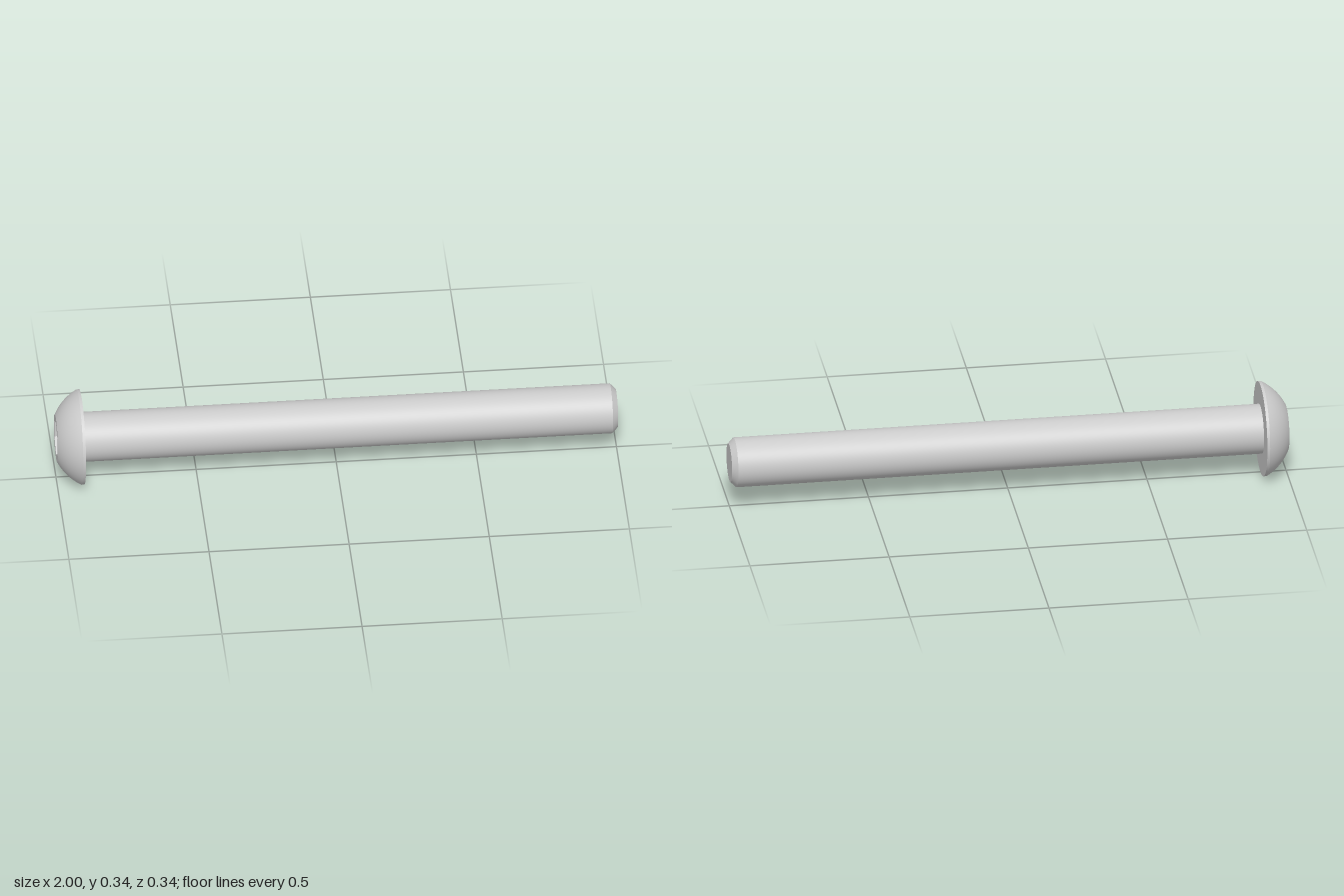
import * as THREE from 'three';

const HEAD_R = 0.17, FLAT_R = 0.085, SHANK_R = 0.089, TIP_R = 0.069;
const UNDERSIDE = -0.908, RIM = -0.918, SOCKET_R = 0.0685, SOCKET_DEPTH = 0.062;

export function createModel() {
  const model = new THREE.Group();
  model.name = 'buttonHeadScrew';
  const material = new THREE.MeshStandardMaterial({ color: 0xcccccc });
  const flatMaterial = new THREE.MeshStandardMaterial({ color: 0xcccccc, flatShading: true, side: THREE.BackSide });

  const add = (parent, name, geometry, mat = material) => {
    const mesh = new THREE.Mesh(geometry, mat);
    mesh.name = name;
    parent.add(mesh);
  };
  // One smooth band of revolution; separate bands keep the edges between them sharp
  const band = (parent, name, points) =>
    add(parent, name, new THREE.LatheGeometry(points.map(([r, y]) => new THREE.Vector2(r, y)), 64));

  // Head: spherical dome, thin rim and flat bearing face
  const head = new THREE.Group();
  head.name = 'head';
  const a = (HEAD_R ** 2 - FLAT_R ** 2 - (RIM + 1) ** 2) / (2 * (RIM + 1));
  const sphereR = Math.hypot(HEAD_R, a);
  const start = Math.asin(FLAT_R / sphereR), end = Math.asin(HEAD_R / sphereR);
  const dome = [];
  for (let i = 0; i <= 12; i++) {
    const t = start + (end - start) * i / 12;
    dome.push([sphereR * Math.sin(t), RIM + a - sphereR * Math.cos(t)]);
  }
  band(head, 'headDome', dome);
  band(head, 'headRim', [[HEAD_R, RIM], [HEAD_R, UNDERSIDE]]);
  band(head, 'headUnderside', [[HEAD_R, UNDERSIDE], [SHANK_R, UNDERSIDE]]);

  // Flat end of the head, pierced by the hexagonal socket
  const face = new THREE.Shape().absarc(0, 0, FLAT_R, 0, Math.PI * 2);
  const corners = [];
  for (let i = 0; i < 6; i++) {
    const t = i * Math.PI / 3;
    corners.push(new THREE.Vector2(SOCKET_R * Math.cos(t), SOCKET_R * Math.sin(t)));
  }
  face.holes.push(new THREE.Path(corners));
  add(head, 'headFace', new THREE.ShapeGeometry(face, 32).rotateX(Math.PI / 2).translate(0, -1, 0));

  // Socket walls and floor
  add(head, 'socketWalls', new THREE.CylinderGeometry(SOCKET_R, SOCKET_R, SOCKET_DEPTH, 6, 1, true, Math.PI / 2)
    .translate(0, -1 + SOCKET_DEPTH / 2, 0), flatMaterial);
  add(head, 'socketFloor', new THREE.CircleGeometry(SOCKET_R, 6).rotateX(Math.PI / 2).translate(0, -1 + SOCKET_DEPTH, 0));

  // Shank with a chamfered tip
  const shank = new THREE.Group();
  shank.name = 'shank';
  band(shank, 'shankBody', [[SHANK_R, UNDERSIDE], [SHANK_R, 0.98]]);
  band(shank, 'tipChamfer', [[SHANK_R, 0.98], [TIP_R, 1]]);
  band(shank, 'tipFace', [[TIP_R, 1], [0, 1]]);

  // Lay the screw along x, resting on the head's rim
  const screw = new THREE.Group();
  screw.name = 'screw';
  screw.add(head, shank);
  screw.rotation.z = -Math.PI / 2;
  screw.position.y = HEAD_R;
  model.add(screw);
  return model;
}
